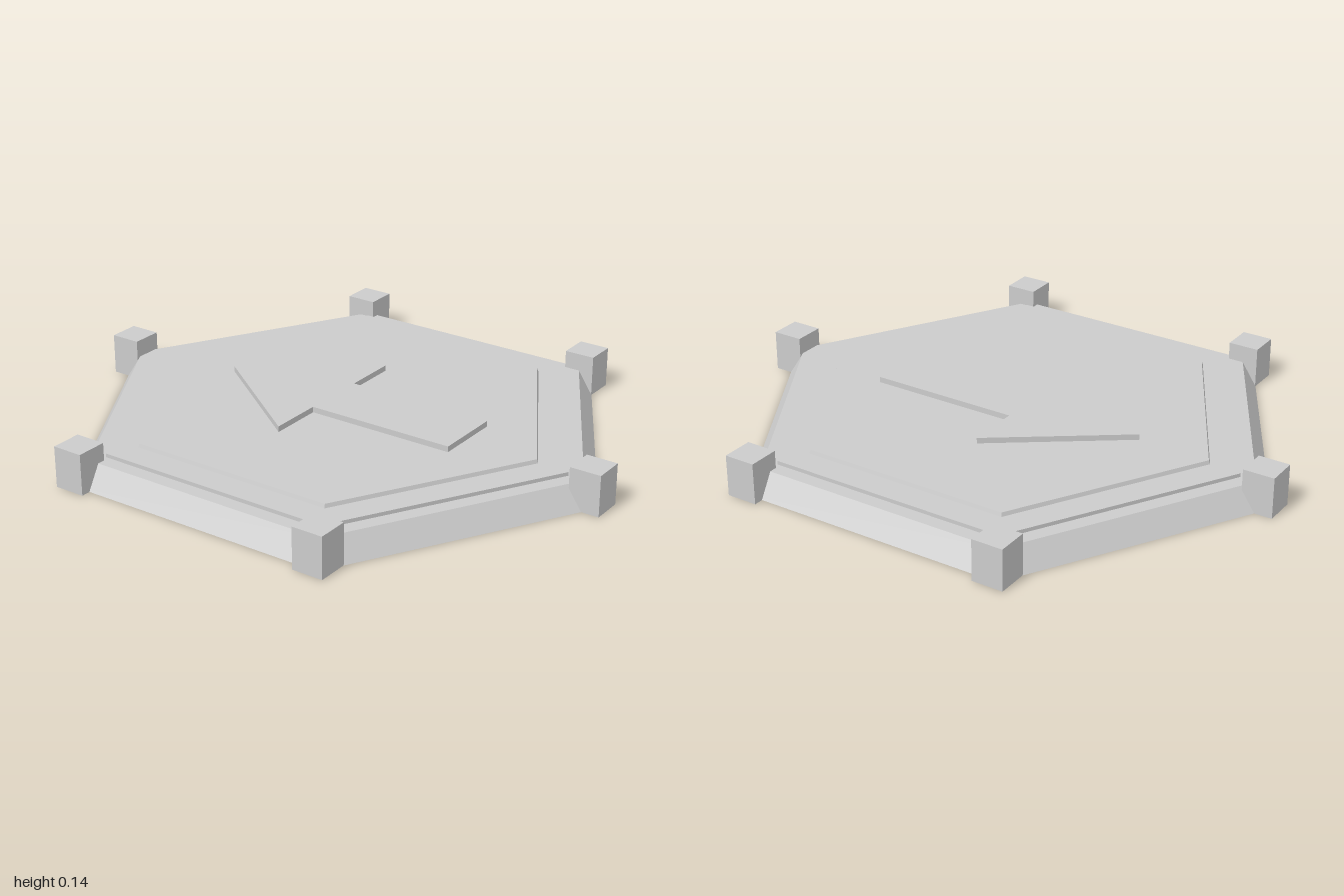
import * as THREE from 'three';

export function createModel() {
  const group = new THREE.Group();
  const material = new THREE.MeshStandardMaterial({ color: 0xcccccc, flatShading: true });

  function add(name, geometry, x = 0, y = 0, z = 0) {
    const mesh = new THREE.Mesh(geometry, material);
    mesh.name = name;
    mesh.position.set(x, y, z);
    group.add(mesh);
  }

  // Hexagonal slab between two heights, with corners on the z axis
  function hexSlab(name, bottomRadius, topRadius, y0, y1) {
    add(name, new THREE.CylinderGeometry(topRadius, bottomRadius, y1 - y0, 6), 0, (y0 + y1) / 2, 0);
  }

  // Stepped platform: sloped base, thin step, raised centre panel
  hexSlab('base', 0.97, 0.914, 0, 0.082);
  hexSlab('step', 0.857, 0.857, 0.082, 0.095);
  hexSlab('panel', 0.747, 0.742, 0.095, 0.108);

  // Raised arrow pointing to the back
  const arrow = new THREE.Shape([
    [-0.12, -0.482], [0.12, -0.482], [0.12, 0.055], [0.312, 0.055],
    [0, 0.485], [-0.312, 0.055], [-0.12, 0.055],
  ].map(([x, y]) => new THREE.Vector2(x, y)));
  const arrowGeometry = new THREE.ExtrudeGeometry(arrow, { depth: 0.02, bevelEnabled: false });
  arrowGeometry.rotateX(-Math.PI / 2);
  add('arrow', arrowGeometry, 0, 0.108, 0);

  // Square posts at the six corners, all aligned with the axes
  const postSize = 0.11, postHeight = 0.144, postRadius = 0.945;
  for (let i = 0; i < 6; i++) {
    const a = (i * Math.PI) / 3;
    add('cornerPost' + (i + 1), new THREE.BoxGeometry(postSize, postHeight, postSize),
      Math.sin(a) * postRadius, postHeight / 2, Math.cos(a) * postRadius);
  }

  return group;
}
